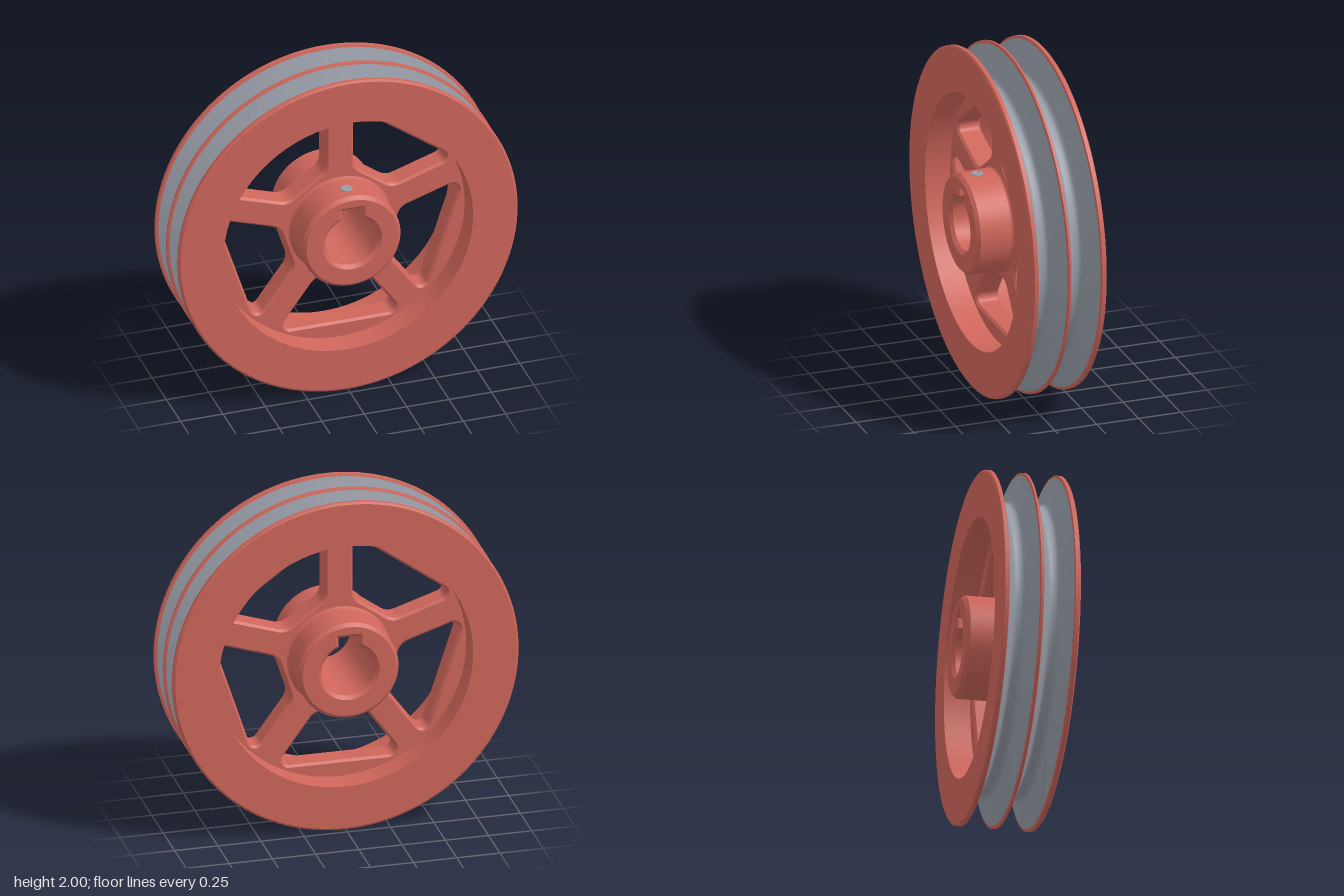
import * as THREE from 'three';
import { toCreasedNormals } from 'three/addons/utils/BufferGeometryUtils.js';

const SPOKES = 5;
const RIM_IN = 0.735, RIM_HALF = 0.22;
const WEB_HALF = 0.07, HUB_HALF = 0.29, HUB_R = 0.29;

// Revolved part about the z axis; points are [radius, z]
function revolve(points, segments = 128) {
  const g = new THREE.LatheGeometry(points.map(([r, z]) => new THREE.Vector2(r, z)), segments);
  g.rotateX(Math.PI / 2);
  return toCreasedNormals(g, 0.5);
}

// Flat part centred on z = 0 with chamfers cut inside its outline
function plate(shape, half, bevel) {
  const g = new THREE.ExtrudeGeometry(shape, {
    depth: 2 * (half - bevel), curveSegments: 48, bevelEnabled: true,
    bevelThickness: bevel, bevelSize: bevel, bevelOffset: -bevel, bevelSegments: 1,
  });
  g.translate(0, 0, -(half - bevel));
  return toCreasedNormals(g, 0.5);
}

// Convex anticlockwise polygon with a fillet radius at each corner: [x, y, radius]
function roundedPolygon(corners) {
  const path = new THREE.Path();
  const n = corners.length;
  corners.forEach(([x, y, r], i) => {
    const [px, py] = corners[(i + n - 1) % n], [nx, ny] = corners[(i + 1) % n];
    const a = Math.atan2(y - py, x - px);
    let b = Math.atan2(ny - y, nx - x);
    if (b < a) b += 2 * Math.PI;
    const mid = (a + b) / 2 + Math.PI / 2, d = r / Math.cos((b - a) / 2);
    path.absarc(x + Math.cos(mid) * d, y + Math.sin(mid) * d, r, a - Math.PI / 2, b - Math.PI / 2, false);
  });
  path.closePath();
  return path;
}

// Window between two spokes, its sides parallel to the spokes
function windowHole(angle) {
  const half = Math.PI / SPOKES, spokeHalf = 0.08;
  const corner = (radial, side, r) => {
    const t = (radial - spokeHalf * Math.sin(half)) / Math.cos(half);
    const across = side * (t * Math.sin(half) - spokeHalf * Math.cos(half));
    return [radial * Math.cos(angle) - across * Math.sin(angle),
      radial * Math.sin(angle) + across * Math.cos(angle), r];
  };
  return roundedPolygon([corner(0.33, -1, 0.09), corner(0.64, -1, 0.04),
    corner(0.64, 1, 0.04), corner(0.33, 1, 0.09)]);
}

export function createModel() {
  const red = new THREE.MeshStandardMaterial({ color: 0xcf665b });
  red.name = 'red paint';
  const grey = new THREE.MeshStandardMaterial({ color: 0x979da8 });
  grey.name = 'bare steel';

  const model = new THREE.Group();
  model.name = 'pulley';
  const wheel = new THREE.Group();
  wheel.name = 'wheel';
  wheel.position.y = 1;
  model.add(wheel);
  const add = (name, geometry, material) => {
    const mesh = new THREE.Mesh(geometry, material);
    mesh.name = name;
    wheel.add(mesh);
    return mesh;
  };

  // Rim sides, inner wall and the thin land between the grooves
  const side = [[0.985, 0.185], [1, 0.19], [1, 0.212], [0.988, RIM_HALF], [RIM_IN, RIM_HALF]];
  add('rim', revolve([...side, ...side.map(([r, z]) => [r, -z]).reverse()]), red);
  add('centreLand', revolve([[0.985, -0.012], [1, -0.006], [1, 0.006], [0.985, 0.012]]), red);

  // Two V grooves
  const flank = [[0.985, 0.0865], [0.85, 0.039], [0.834, 0.032], [0.824, 0.023], [0.82, 0.012]];
  for (const s of [-1, 1]) {
    const c = s * 0.0985;
    const profile = [...flank.map(([r, z]) => [r, c - z]),
      ...flank.map(([r, z]) => [r, c + z]).reverse()];
    add(s > 0 ? 'frontGroove' : 'backGroove', revolve(profile), grey);
  }

  // Spoked web
  const web = new THREE.Shape().absarc(0, 0, 0.765, 0, 2 * Math.PI, false);
  for (let i = 0; i < SPOKES; i++) {
    web.holes.push(windowHole(-Math.PI / 2 + (i * 2 * Math.PI) / SPOKES));
  }
  web.holes.push(new THREE.Path().absarc(0, 0, 0.255, 0, 2 * Math.PI, true));
  add('spokes', plate(web, WEB_HALF, 0.013), red);

  // Hub with bore and keyway
  const hub = new THREE.Shape().absarc(0, 0, HUB_R, 0, 2 * Math.PI, false);
  const boreR = 0.155, keyHalf = 0.056, keyTop = 0.205;
  const a = Math.acos(keyHalf / boreR);
  const bore = new THREE.Path();
  bore.absarc(0, 0, boreR, Math.PI - a, 2 * Math.PI + a, false);
  bore.lineTo(keyHalf, keyTop);
  bore.lineTo(-keyHalf, keyTop);
  bore.closePath();
  hub.holes.push(bore);
  add('hub', plate(hub, HUB_HALF, 0.02), red);

  // Small blend where the hub meets the spokes
  for (const s of [-1, 1]) {
    const ring = [[0.306, WEB_HALF - 0.002], [0.294, WEB_HALF + 0.005], [0.288, WEB_HALF + 0.018]];
    add('hubFillet', revolve(s > 0 ? ring : ring.map(([r, z]) => [r, -z]).reverse()), red);
  }

  // Set screw in the top of the hub, with a recessed socket
  const screw = new THREE.LatheGeometry([[0.034, -0.02], [0.034, 0.003], [0.031, 0.005],
    [0.018, 0.005], [0.016, 0.001], [0, 0.001]].map(([r, y]) => new THREE.Vector2(r, y)), 24);
  add('setScrew', toCreasedNormals(screw, 0.5), grey).position.set(0, HUB_R, 0.185);

  return model;
}
